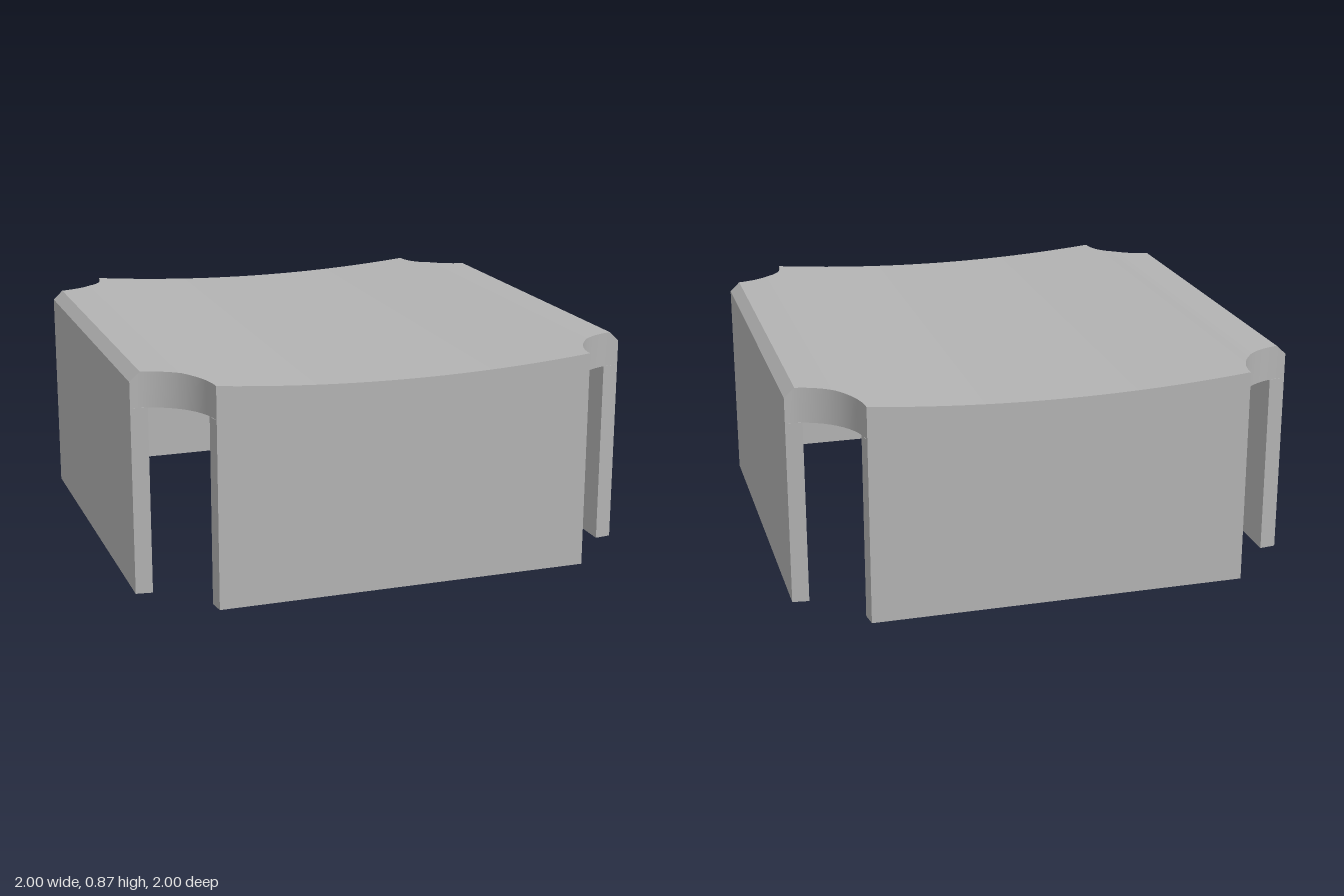
import * as THREE from 'three';
import { toCreasedNormals } from 'three/addons/utils/BufferGeometryUtils.js';

const NOTCH = 0.258;   // radius of the round corner cut-outs
const CEILING = 0.73;  // underside of the top plate
const WALL = 0.065;    // wall thickness

// Height of the dished top, with a flat shoulder and a chamfer on both sides
function topHeight(x) {
  const a = Math.abs(x);
  if (a < 0.82) return 0.822 + 0.045 * (a / 0.82) ** 2;
  if (a < 0.96) return 0.867;
  return 0.867 - (a - 0.96) / 0.04 * 0.037;
}

// Half depth of the outline at x
function halfDepth(x) {
  const d = 1 - Math.abs(x);
  return d >= NOTCH ? 1 : 1 - Math.sqrt(NOTCH * NOTCH - d * d);
}

// Top plate made of cross-sections along x
function topPlateGeometry() {
  const half = [0.82, 0.96];
  for (let i = 1; i <= 10; i++) half.push((1 - NOTCH) * i / 10);
  for (let i = 1; i <= 14; i++) half.push(1 - NOTCH * Math.cos(i / 14 * Math.PI / 2));
  const xs = [...half.map(x => -x), 0, ...half].sort((a, b) => a - b);
  const pos = [];
  const quad = (a, b, c, d) => pos.push(...a, ...b, ...c, ...a, ...c, ...d);
  const section = x => {
    const z = halfDepth(x), y = topHeight(x);
    return [[x, CEILING, z], [x, y, z], [x, y, -z], [x, CEILING, -z]];
  };
  for (let i = 0; i < xs.length - 1; i++) {
    const p = section(xs[i]), q = section(xs[i + 1]);
    for (let k = 0; k < 4; k++) {
      const n = (k + 1) % 4;
      quad(p[k], q[k], q[n], p[n]);
    }
  }
  const l = section(xs[0]), r = section(xs[xs.length - 1]);
  quad(l[3], l[0], l[1], l[2]);
  quad(r[0], r[3], r[2], r[1]);
  const geo = new THREE.BufferGeometry();
  geo.setAttribute('position', new THREE.Float32BufferAttribute(pos, 3));
  return toCreasedNormals(geo, 0.3);
}

const points = list => list.map(([x, y]) => new THREE.Vector2(x, y));

// Extrude a plan outline upwards from y0 to y1
function upright(shape, y0, y1) {
  return new THREE.ExtrudeGeometry(shape, { depth: y1 - y0, bevelEnabled: false })
    .rotateX(-Math.PI / 2).translate(0, y0, 0);
}

// Square block with a cross-shaped hole of arm length l and half width w
function socketGeometry(s, l, w, y0, y1) {
  const shape = new THREE.Shape(points([[-s, -s], [s, -s], [s, s], [-s, s]]));
  shape.holes.push(new THREE.Path(points([
    [-w, -l], [-w, -w], [-l, -w], [-l, w], [-w, w], [-w, l],
    [w, l], [w, w], [l, w], [l, -w], [w, -w], [w, -l],
  ])));
  return upright(shape, y0, y1);
}

export function createModel() {
  const group = new THREE.Group();
  const grey = new THREE.MeshStandardMaterial({ color: 0xb3b3b3 });
  grey.name = 'grey plastic';
  const add = (name, geo) => {
    const mesh = new THREE.Mesh(geo, grey);
    mesh.name = name;
    group.add(mesh);
    return mesh;
  };

  add('topPlate', topPlateGeometry());

  // Four walls whose ends follow the corner cut-outs
  const outer = 1 - NOTCH;
  const inner = 1 - Math.sqrt(NOTCH * NOTCH - WALL * WALL);
  const wall = upright(new THREE.Shape(points([
    [-outer, -1], [outer, -1], [inner, WALL - 1], [-inner, WALL - 1],
  ])), 0, CEILING);
  ['frontWall', 'leftWall', 'backWall', 'rightWall'].forEach((name, i) => {
    add(name, wall).rotation.y = i * Math.PI / 2;
  });

  // Stem block under the plate: narrow cross socket with a wider stepped rim
  add('stemSocket', socketGeometry(0.365, 0.235, 0.067, 0.54, CEILING));
  add('stemSocketRim', socketGeometry(0.365, 0.285, 0.105, 0.51, 0.54));

  return group;
}
